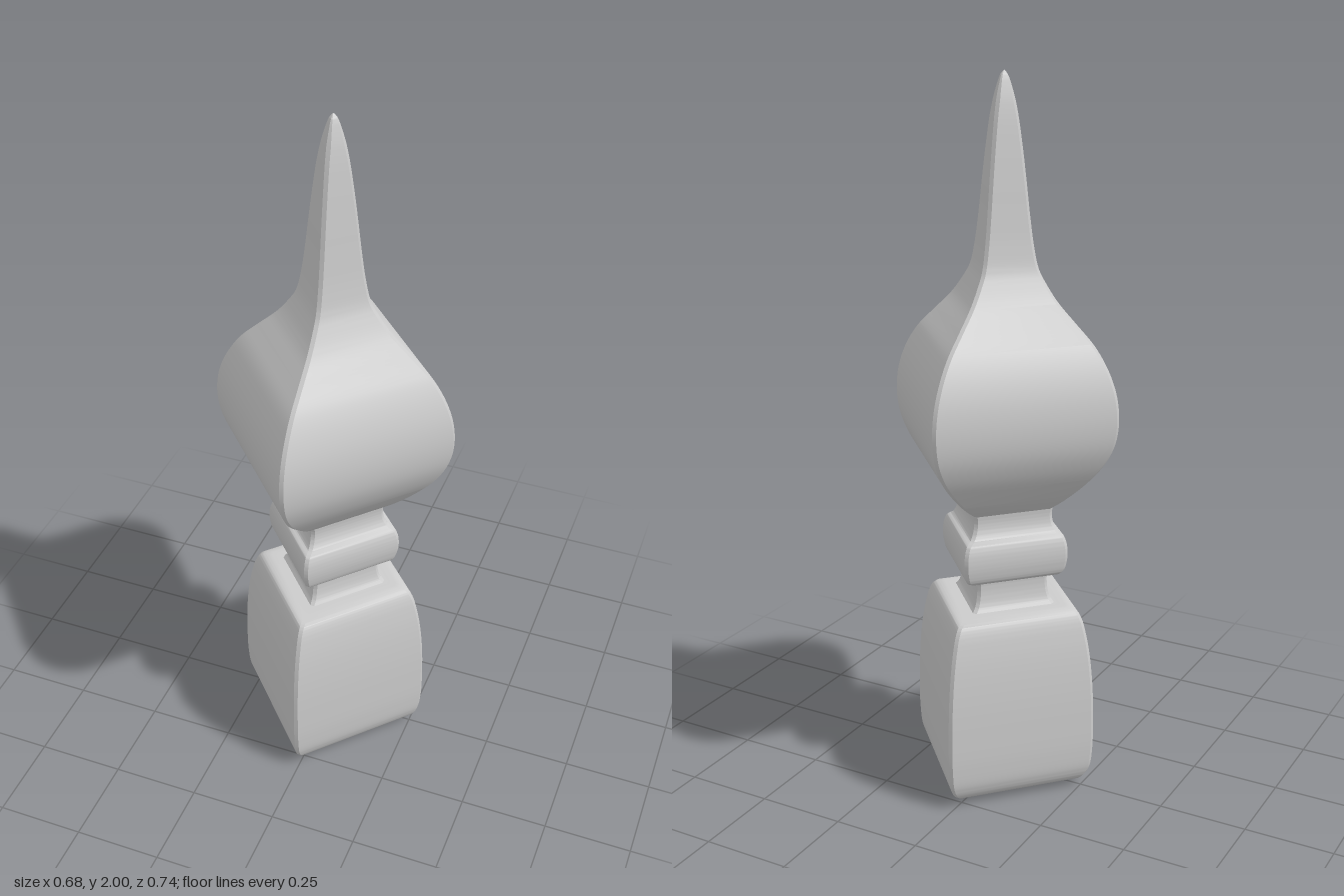
import * as THREE from 'three';
import { toCreasedNormals } from 'three/addons/utils/BufferGeometryUtils.js';

const DEPTH = 1.087; // the diamond is slightly deeper than wide
const material = new THREE.MeshStandardMaterial({ color: 0xcccccc });

// Diamond cross-section with narrow chamfered corners
function ring(r, y) {
  const c = Math.min(0.006, r * 0.2);
  return [[r, -c], [r, c], [c, r], [-c, r], [-r, c], [-r, -c], [-c, -r], [c, -r]]
    .map(([x, z]) => [x, y, z * DEPTH]);
}

// Sweep a smooth [half-width, height] profile up through diamond rings
function turnedPart(name, profile) {
  const curve = new THREE.CatmullRomCurve3(profile.map(([r, y]) => new THREE.Vector3(r, y, 0)));
  const rings = curve.getPoints((profile.length - 1) * 6)
    .map((p) => ring(Math.max(p.x, 0), p.y));
  const positions = [];
  for (let i = 0; i < rings.length - 1; i++) {
    for (let j = 0; j < 8; j++) {
      const k = (j + 1) % 8;
      const a = rings[i][j], b = rings[i][k], c = rings[i + 1][k], d = rings[i + 1][j];
      if (a[0] !== b[0] || a[2] !== b[2]) positions.push(...a, ...c, ...b);
      if (c[0] !== d[0] || c[2] !== d[2]) positions.push(...a, ...d, ...c);
    }
  }
  const geometry = new THREE.BufferGeometry();
  geometry.setAttribute('position', new THREE.Float32BufferAttribute(positions, 3));
  const mesh = new THREE.Mesh(toCreasedNormals(geometry, 0.6), material);
  mesh.name = name;
  return mesh;
}

export function createModel() {
  const group = new THREE.Group();
  group.name = 'finial';

  // Rounded base block, closed underneath
  group.add(turnedPart('baseBlock', [
    [0, 0], [0.15, 0.003], [0.21, 0.011], [0.25, 0.026], [0.273, 0.06], [0.282, 0.12],
    [0.283, 0.22], [0.279, 0.32], [0.269, 0.41], [0.257, 0.47], [0.243, 0.515],
    [0.228, 0.537], [0.205, 0.546], [0.155, 0.548],
  ]));

  // Concave neck
  group.add(turnedPart('neck', [
    [0.155, 0.548], [0.143, 0.562], [0.135, 0.585], [0.132, 0.615], [0.134, 0.637],
  ]));

  // Rounded collar, running into the upper neck
  group.add(turnedPart('collar', [
    [0.134, 0.637], [0.165, 0.638], [0.183, 0.648], [0.193, 0.675], [0.196, 0.705],
    [0.192, 0.735], [0.182, 0.755], [0.165, 0.765], [0.151, 0.785], [0.146, 0.81], [0.148, 0.83],
  ]));

  // Onion-shaped bulb drawn out into a spire
  group.add(turnedPart('bulbAndSpire', [
    [0.148, 0.83], [0.19, 0.861], [0.25, 0.916], [0.3, 0.975], [0.331, 1.035], [0.342, 1.1],
    [0.335, 1.17], [0.311, 1.235], [0.27, 1.298], [0.212, 1.355], [0.16, 1.405],
    [0.125, 1.45], [0.101, 1.49], [0.086, 1.55], [0.074, 1.63], [0.063, 1.72],
    [0.051, 1.81], [0.038, 1.89], [0.022, 1.955], [0.009, 1.99], [0, 2],
  ]));

  return group;
}
